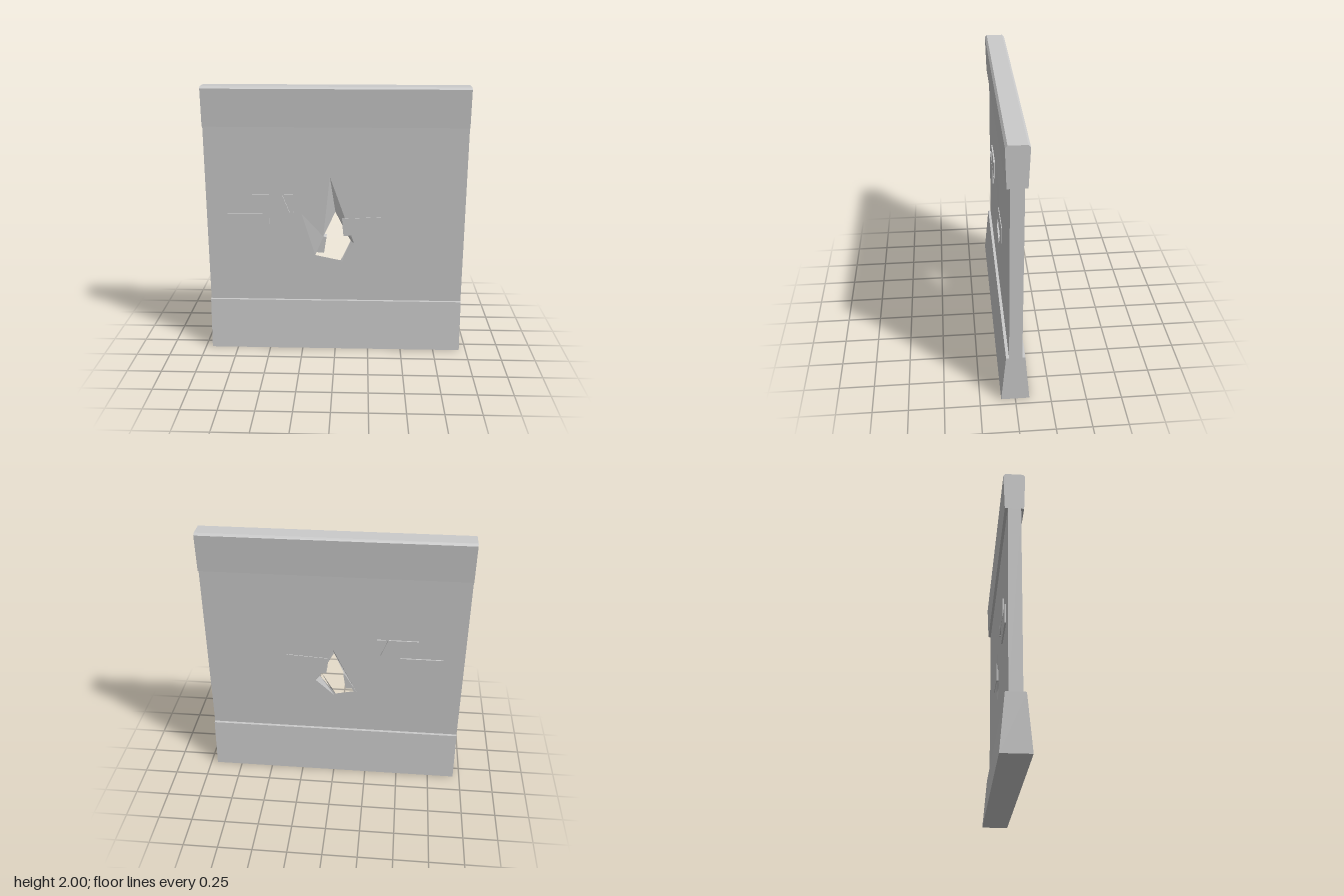
import * as THREE from 'three';

const W = 0.95;   // half width of the wall
const D = 0.045;  // half thickness of the middle panel
const material = new THREE.MeshStandardMaterial({ color: 0xcccccc, flatShading: true });

const toVectors = (pts) => pts.map(([x, y]) => new THREE.Vector2(x, y));

function addMesh(group, name, geometry) {
  const mesh = new THREE.Mesh(geometry, material);
  mesh.name = name;
  group.add(mesh);
  return mesh;
}

// Symmetric (z, y) profile swept across the full width
function sweep(halfProfile) {
  const mirrored = halfProfile.map(([z, y]) => [-z, y]).reverse();
  const shape = new THREE.Shape(toVectors([...halfProfile, ...mirrored]));
  const geo = new THREE.ExtrudeGeometry(shape, { depth: 2 * W, bevelEnabled: false });
  return geo.translate(0, 0, -W).rotateY(Math.PI / 2);
}

// Slab of masonry cut from an (x, y) outline, centred in the wall
function slab(pts, depth) {
  const shape = new THREE.Shape(toVectors(pts));
  return new THREE.ExtrudeGeometry(shape, { depth, bevelEnabled: false }).translate(0, 0, -depth / 2);
}

// Fill between an outer and an inner loop of [x, y, z], facing +z or -z
function fillRing(out, outer, inner, side) {
  const all = [...outer, ...inner];
  for (const [a, b, c] of THREE.ShapeUtils.triangulateShape(toVectors(outer), [toVectors(inner)])) {
    const [p, q, r] = [all[a], all[b], all[c]];
    const area = (q[0] - p[0]) * (r[1] - p[1]) - (q[1] - p[1]) * (r[0] - p[0]);
    out.push(...(area * side > 0 ? [p, q, r] : [p, r, q]));
  }
}

// Panel with a broken hole and a shallow chipped area on each face
function brokenPanel() {
  const tris = [];
  const rect = [[W, 0.38], [W, 1.72], [-W, 1.72], [-W, 0.38]];
  const frontChip = [[0.63, 0.92], [0.57, 1.28], [0.42, 1.39], [-0.04, 1.35], [-0.22, 1.4],
    [-0.57, 1.53], [-0.25, 1.07], [-0.17, 0.73], [0.05, 0.69], [0.14, 0.84]];
  const backChip = [[0.58, 0.95], [0.36, 1.21], [0.01, 1.11], [-0.11, 0.9], [-0.17, 0.735],
    [0, 0.7], [0.14, 0.83], [0.37, 0.75]];
  // Hole rims: x, y, depth of the chip at that corner
  const frontRim = [[0, 1.08, 0.02], [0.05, 0.98, 0.02], [0.06, 0.9, 0.018], [0.09, 0.9, 0.015],
    [0.115, 0.86, 0.008], [0.04, 0.705, 0], [-0.15, 0.745, 0], [-0.09, 0.89, 0.008]];
  const backRim = [[0.002, 1.075, 0.008], [0.05, 0.98, 0.02], [0.06, 0.9, 0.025], [0.09, 0.9, 0.025],
    [0.11, 0.857, 0.02], [-0.01, 0.715, 0], [-0.145, 0.745, 0], [-0.08, 0.89, 0]];

  const rims = [[1, frontChip, frontRim], [-1, backChip, backRim]].map(([side, chip, rim]) => {
    const flat = (pts) => pts.map(([x, y]) => [x, y, side * D]);
    const edge = rim.map(([x, y, d]) => [x, y, side * (D - d)]);
    fillRing(tris, flat(rect), flat(chip), side);
    fillRing(tris, flat(chip), edge, side);
    return edge;
  });

  // Walls of the hole, facing inwards
  const [f, b] = rims;
  f.forEach((p, i) => {
    const j = (i + 1) % f.length;
    tris.push(p, f[j], b[j], p, b[j], b[i]);
  });

  // Closed left and right ends
  for (const s of [1, -1]) {
    const x = s * W;
    const c = [[x, 0.38, s * D], [x, 0.38, -s * D], [x, 1.72, -s * D], [x, 1.72, s * D]];
    tris.push(c[0], c[1], c[2], c[0], c[2], c[3]);
  }

  const geo = new THREE.BufferGeometry();
  geo.setAttribute('position', new THREE.Float32BufferAttribute(tris.flat(), 3));
  geo.computeVertexNormals();
  return geo;
}

export function createModel() {
  const group = new THREE.Group();
  group.name = 'brokenWall';

  // Flared footing and slightly flared coping with chamfered top edges
  addMesh(group, 'footing', sweep([[0.1, 0], [0.066, 0.385]]));
  addMesh(group, 'coping', sweep([[0.065, 1.715], [0.075, 1.985], [0.06, 2]]));
  addMesh(group, 'panel', brokenPanel());

  // Exposed bricks standing slightly proud of both faces
  const bricks = {
    upperBrick: [[-0.61, 1.075], [-0.335, 1.075], [-0.39, 1.215], [-0.61, 1.215]],
    upperBrickChip: [[-0.325, 1.075], [-0.31, 1.075], [-0.31, 1.215], [-0.375, 1.215]],
    lowerBrick: [[-0.795, 0.93], [-0.485, 0.93], [-0.485, 1.065], [-0.795, 1.065]],
  };
  for (const [name, pts] of Object.entries(bricks)) addMesh(group, name, slab(pts, 0.11));

  // Loose brick beside the hole, sinking into the wall at its lower edge
  addMesh(group, 'looseBrick', slab([[0.06, 0.9], [0.355, 0.92], [0.355, 1.05], [0.05, 1.032]], 0.1));

  // Brick stub left inside the hole
  addMesh(group, 'brickStub', slab([[-0.145, 0.765], [-0.085, 0.76], [-0.066, 0.885], [-0.1, 0.89]], 0.07));

  return group;
}
